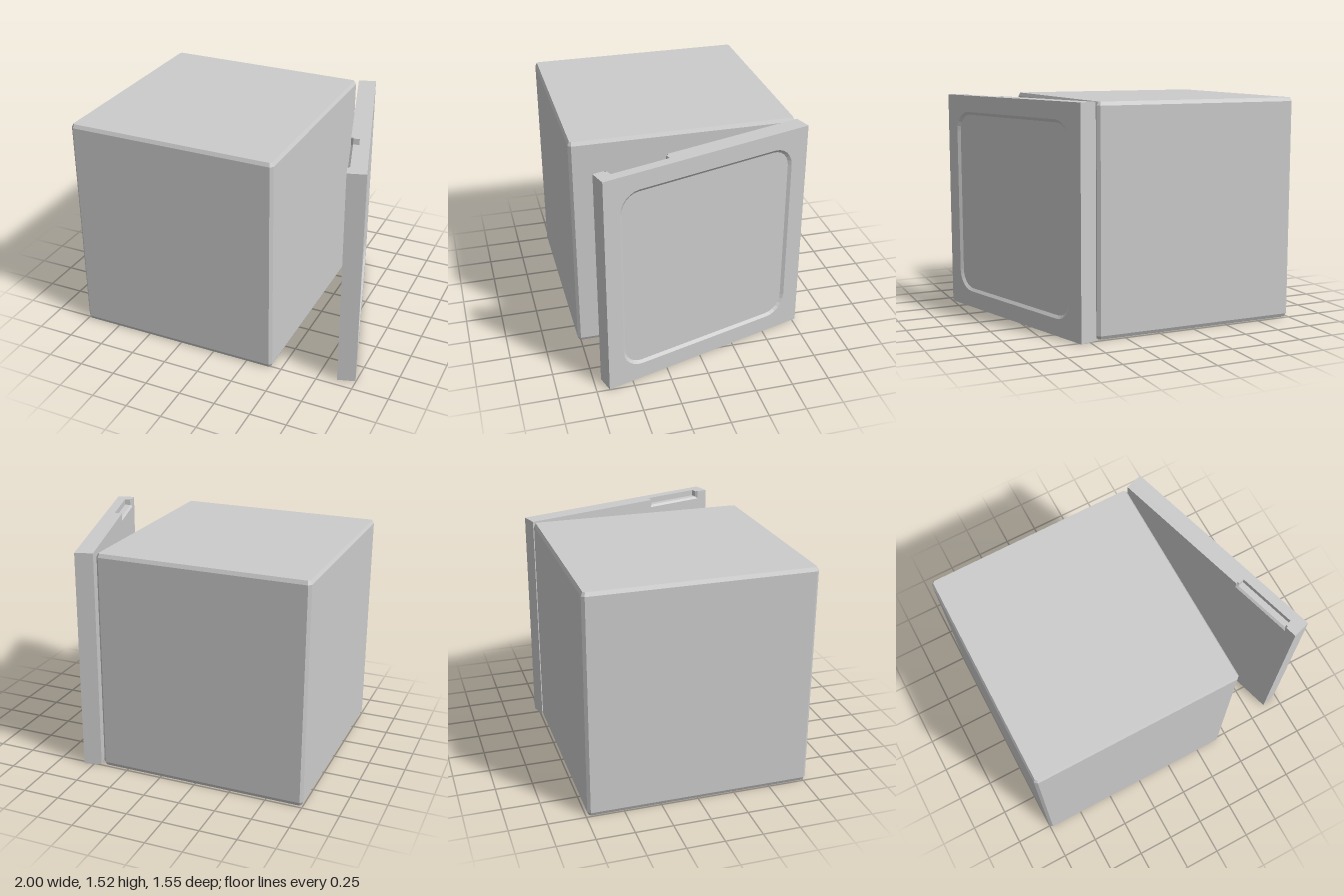
import * as THREE from 'three';

const material = new THREE.MeshStandardMaterial({ color: 0xcccccc, flatShading: true, side: THREE.DoubleSide });
const HEIGHT = 1.52, LENGTH = 1.503, NOTCH_DEPTH = 0.055, THICKNESS = 0.122, RECESS = 0.015;

const toPoints = list => list.map(([x, y]) => new THREE.Vector2(x, y));

function add(parent, name, geometry) {
  const mesh = new THREE.Mesh(geometry, material);
  mesh.name = name;
  parent.add(mesh);
  return mesh;
}

// Plain extrusion of a shape between two depths
function slab(shape, z0, z1) {
  return new THREE.ExtrudeGeometry(shape, { depth: z1 - z0, bevelEnabled: false }).translate(0, 0, z0);
}

// Strip of quads joining two outlines that have the same number of points
function strip(a, za, b, zb) {
  const pos = [];
  for (let i = 0; i < a.length - 1; i++) {
    const p = [a[i].x, a[i].y, za], q = [a[i + 1].x, a[i + 1].y, za];
    const r = [b[i].x, b[i].y, zb], s = [b[i + 1].x, b[i + 1].y, zb];
    pos.push(...p, ...q, ...r, ...q, ...s, ...r);
  }
  const g = new THREE.BufferGeometry();
  g.setAttribute('position', new THREE.Float32BufferAttribute(pos, 3));
  g.computeVertexNormals();
  return g;
}

// Outline of a rounded rectangle, counter-clockwise from the upper right corner
function roundedRect(x0, y0, x1, y1, r) {
  const centres = [[x1 - r, y1 - r], [x0 + r, y1 - r], [x0 + r, y0 + r], [x1 - r, y0 + r]];
  const points = [];
  centres.forEach(([cx, cy], corner) => {
    for (let i = 0; i <= 6; i++) {
      const a = (corner + i / 6) * Math.PI / 2;
      points.push(new THREE.Vector2(cx + r * Math.cos(a), cy + r * Math.sin(a)));
    }
  });
  return points;
}

// Points around the grip notch, from rim to rim
function notchPoints(inset) {
  const x0 = 0.076 + inset, x1 = 0.51 - inset, y = 1.465 + inset;
  return toPoints([[x0, HEIGHT], [x0, y], [x1, y], [x1, HEIGHT]]);
}

function notchedShape(inset) {
  const corners = toPoints([[LENGTH, HEIGHT], [LENGTH, 0], [0, 0], [0, HEIGHT]]);
  return new THREE.Shape([...corners, ...notchPoints(inset)]);
}

function plainShape() {
  return new THREE.Shape(toPoints([[0, 0], [LENGTH, 0], [LENGTH, HEIGHT], [0, HEIGHT]]));
}

// Solid cabinet with chamfered edges, extruded upwards
function cabinetGeometry() {
  const b = 0.012, t = 0.025, c = 0.012;
  const w = 0.718 - b, d = 0.755 - b;
  const shape = new THREE.Shape(toPoints([
    [w - c, -d], [w, -d + c], [w, d - c], [w - c, d],
    [-w + c, d], [-w, d - c], [-w, -d + c], [-w + c, -d],
  ]));
  const g = new THREE.ExtrudeGeometry(shape, {
    depth: HEIGHT - 2 * t, bevelThickness: t, bevelSize: b, bevelSegments: 1,
  });
  return g.translate(0, 0, t).rotateX(-Math.PI / 2);
}

export function createModel() {
  const model = new THREE.Group();
  model.name = 'cabinetWithOpenDoor';

  add(model, 'cabinet', cabinetGeometry()).position.set(-0.282, 0, 0.015);

  // Door: local x runs from the free edge to the hinge, local z from inner to outer face
  const door = new THREE.Group();
  door.name = 'door';
  door.position.set(0.88, 0, 0.7);
  door.rotation.y = Math.PI / 2 + 0.29;
  model.add(door);

  // Inner layers with the bevelled grip notch
  const bevel = 0.014;
  add(door, 'innerFace', slab(notchedShape(0), 0, bevel));
  add(door, 'gripLayer', slab(notchedShape(bevel), bevel, NOTCH_DEPTH));
  add(door, 'gripBevel', strip(notchPoints(bevel), bevel, notchPoints(0), 0));

  // Core and outer frame around the sunken panel
  add(door, 'doorCore', slab(plainShape(), NOTCH_DEPTH, THICKNESS - RECESS));
  const opening = roundedRect(0.11, 0.115, 1.385, 1.405, 0.14);
  const floor = roundedRect(0.13, 0.135, 1.365, 1.385, 0.12);
  const frame = plainShape();
  frame.holes.push(new THREE.Path(opening));
  add(door, 'outerFrame', slab(frame, THICKNESS - RECESS, THICKNESS));
  add(door, 'panelSlope', strip(
    [...opening, opening[0]], THICKNESS, [...floor, floor[0]], THICKNESS - RECESS));

  return model;
}
